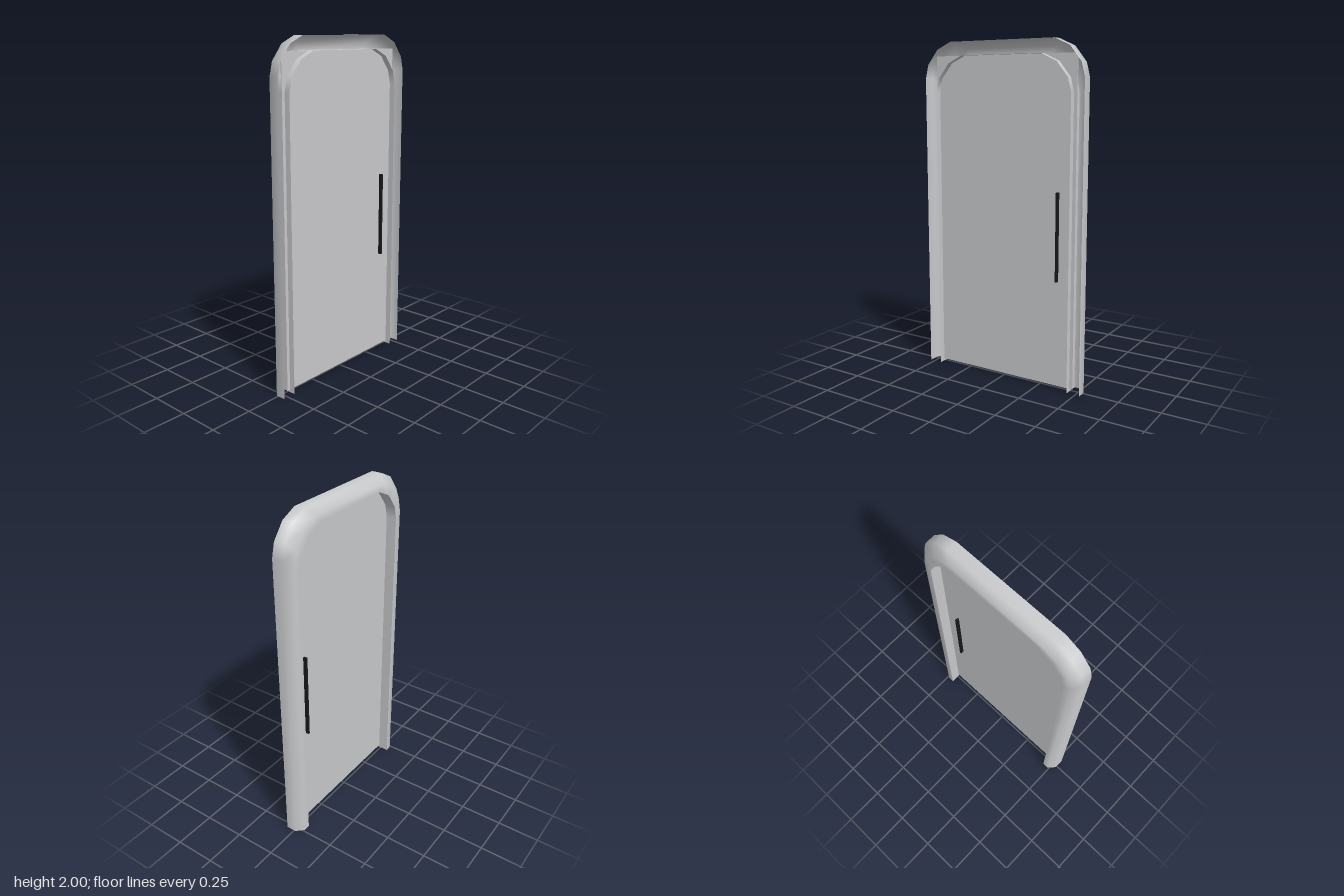
import * as THREE from 'three';

// Arch outline inset by d: up the +z jamb, over the top, down the -z jamb.
function archPath(d) {
  const half = [[0.53, null], [0.53, 1.79], [0.51, 1.87], [0.44, 1.957], [0.345, 2]]
    .map(([z, y]) => [z - d, y === null ? 0 : y - d]);
  return [...half, ...half.slice().reverse().map(([z, y]) => [-z, y])];
}

// Sweep a profile of [x, inset] points along the arch.
function archSheet(profile) {
  const rings = profile.map(([x, d]) => archPath(d).map(([z, y]) => [x, y, z]));
  const n = rings[0].length;
  const index = [];
  for (let i = 0; i < rings.length - 1; i++) {
    for (let j = 0; j < n - 1; j++) {
      const a = i * n + j, b = a + 1, c = a + n, e = c + 1;
      index.push(a, b, c, b, e, c);
    }
  }
  const geometry = new THREE.BufferGeometry();
  geometry.setAttribute('position', new THREE.Float32BufferAttribute(rings.flat(2), 3));
  geometry.setIndex(index);
  geometry.computeVertexNormals();
  return geometry;
}

export function createModel() {
  const group = new THREE.Group();
  group.name = 'archedDoor';

  const grey = new THREE.MeshStandardMaterial({ color: 0xc8c9cb, side: THREE.DoubleSide });
  grey.name = 'light grey';
  const black = new THREE.MeshStandardMaterial({ color: 0x17181a });
  black.name = 'black';

  const add = (name, geometry, material, x = 0, y = 0, z = 0) => {
    const mesh = new THREE.Mesh(geometry, material);
    mesh.name = name;
    mesh.position.set(x, y, z);
    group.add(mesh);
  };

  // Hollow frame: bevelled outer shell and the inner lining, open on one side
  add('frameShell', archSheet([[0.052, 0], [-0.01, 0], [-0.052, 0.04], [-0.052, 0.08]]), grey);
  add('frameLining', archSheet([[-0.052, 0.08], [0.052, 0.08]]), grey);

  // Thin door leaf running into the channel of the frame
  add('doorPanel', new THREE.BoxGeometry(0.005, 1.905, 0.94), grey, 0.014, 0.9675, 0);

  // Slim pull bar on each face
  for (const side of [1, -1]) {
    add(side > 0 ? 'handleLeft' : 'handleRight',
      new THREE.BoxGeometry(0.02, 0.515, 0.012), black, 0.014 + side * 0.0125, 0.902, -0.363);
  }
  return group;
}
